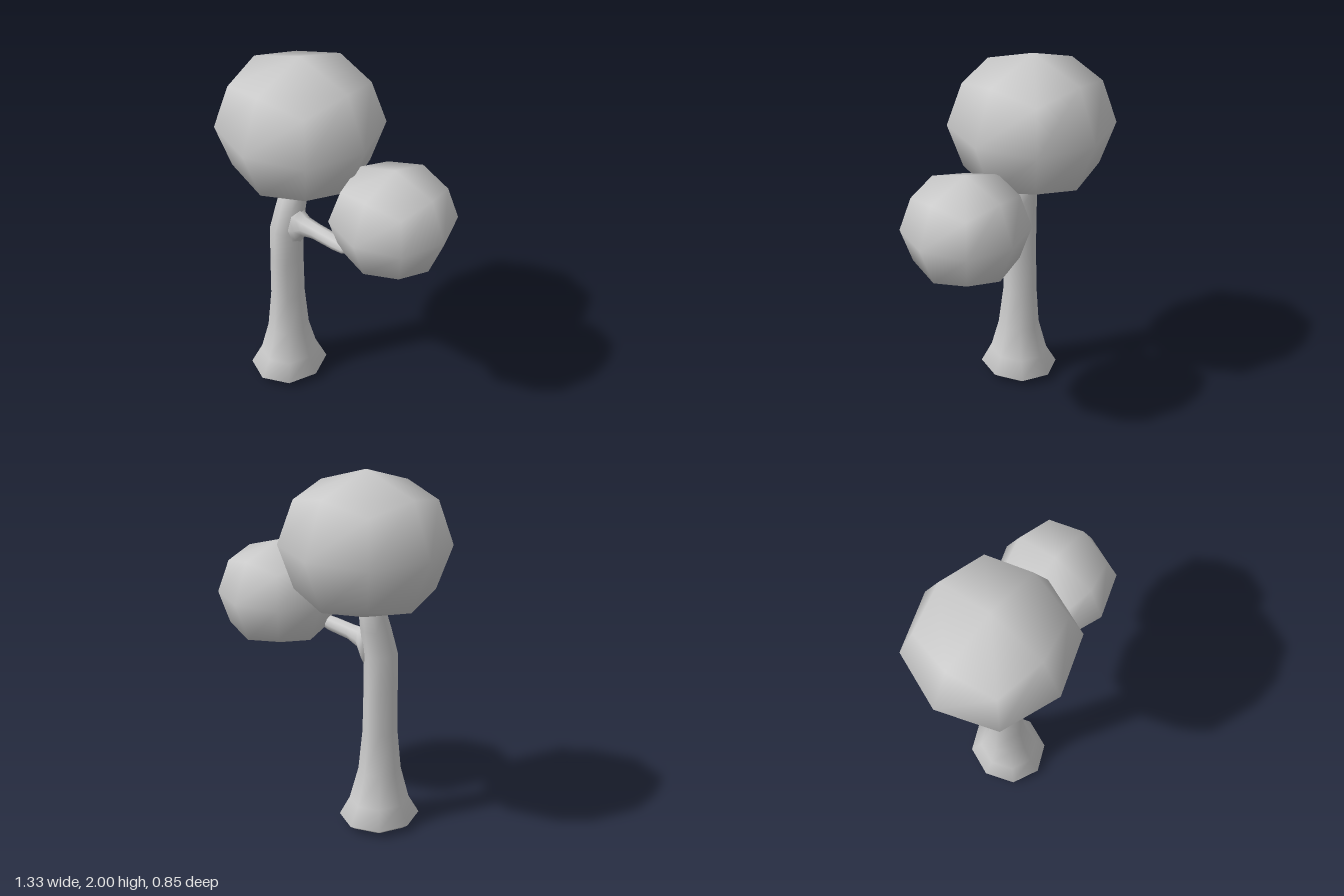
import * as THREE from 'three';
import { mergeVertices } from 'three/addons/utils/BufferGeometryUtils.js';

const material = new THREE.MeshStandardMaterial({ color: 0xcccccc });
const SIDES = 8;

function addMesh(group, name, geometry) {
  const mesh = new THREE.Mesh(geometry, material);
  mesh.name = name;
  group.add(mesh);
}

// Smooth capped limb: rings of [x, y, z, radiusU, radiusV], with u x v along the limb
function limb(rings, u, v, capStart, capEnd) {
  const pos = [], index = [];
  for (const [x, y, z, ru, rv] of rings) {
    for (let j = 0; j < SIDES; j++) {
      const a = (j / SIDES) * Math.PI * 2;
      const p = new THREE.Vector3(x, y, z)
        .addScaledVector(u, Math.cos(a) * ru)
        .addScaledVector(v, Math.sin(a) * rv);
      pos.push(p.x, p.y, p.z);
    }
  }
  const start = rings.length * SIDES, last = start - SIDES;
  pos.push(...capStart, ...capEnd);
  for (let j = 0; j < SIDES; j++) {
    const k = (j + 1) % SIDES;
    for (let i = 0; i < last; i += SIDES) {
      index.push(i + j, i + k, i + SIDES + k, i + j, i + SIDES + k, i + SIDES + j);
    }
    index.push(start, k, j, start + 1, last + j, last + k);
  }
  const geometry = new THREE.BufferGeometry();
  geometry.setAttribute('position', new THREE.Float32BufferAttribute(pos, 3));
  geometry.setIndex(index);
  geometry.computeVertexNormals();
  return geometry;
}

// Foliage ball: a cube with 2 x 2 faces per side, puffed out to a sphere
function foliage(center, radii) {
  let geometry = new THREE.BoxGeometry(2, 2, 2, 2, 2, 2);
  geometry.deleteAttribute('uv');
  geometry.deleteAttribute('normal');
  geometry = mergeVertices(geometry);
  const p = geometry.attributes.position, point = new THREE.Vector3();
  const puff = [0, 1, 0.735, 0.6]; // face centre, edge middle, corner
  for (let i = 0; i < p.count; i++) {
    point.fromBufferAttribute(p, i);
    point.multiplyScalar(puff[Math.round(point.lengthSq())]);
    p.setXYZ(i, point.x, point.y, point.z);
  }
  geometry.scale(...radii);
  geometry.translate(...center);
  geometry.computeVertexNormals();
  return geometry;
}

export function createModel() {
  const tree = new THREE.Group();
  tree.name = 'tree';
  const X = new THREE.Vector3(1, 0, 0);
  const Y = new THREE.Vector3(0, 1, 0);
  const Z = new THREE.Vector3(0, 0, 1);

  // Trunk, flared at the foot and leaning back at the top
  addMesh(tree, 'trunk', limb([
    [-0.265, 0.012, 0.105, 0.19, 0.175],
    [-0.265, 0.04, 0.105, 0.23, 0.21],
    [-0.262, 0.14, 0.105, 0.17, 0.157],
    [-0.262, 0.32, 0.105, 0.12, 0.113],
    [-0.265, 0.55, 0.1, 0.1, 0.09],
    [-0.263, 0.8, 0.102, 0.097, 0.087],
    [-0.26, 1.0, 0.1, 0.095, 0.088],
    [-0.247, 1.14, 0.075, 0.085, 0.08],
    [-0.241, 1.235, 0.055, 0.075, 0.072],
    [-0.24, 1.25, 0.052, 0.062, 0.06],
  ], Z, X, [-0.265, 0, 0.105], [-0.24, 1.252, 0.052]));

  // Side branch, widening where it joins the trunk
  addMesh(tree, 'branch', limb([
    [-0.21, 1.03, 0.085, 0.13, 0.08],
    [-0.17, 1.035, 0.087, 0.1, 0.062],
    [-0.13, 1.055, 0.09, 0.058, 0.05],
    [-0.05, 1.064, 0.095, 0.044, 0.043],
    [0.1, 1.068, 0.105, 0.042, 0.042],
    [0.165, 1.07, 0.11, 0.036, 0.036],
    [0.185, 1.07, 0.11, 0.025, 0.025],
  ], Y, Z, [-0.22, 1.03, 0.085], [0.187, 1.07, 0.11]));

  // Foliage
  addMesh(tree, 'largeFoliage', foliage([-0.235, 1.61, 0], [0.433, 0.39, 0.427]));
  addMesh(tree, 'smallFoliage', foliage([0.34, 1.238, -0.067], [0.325, 0.297, 0.32]));
  return tree;
}
